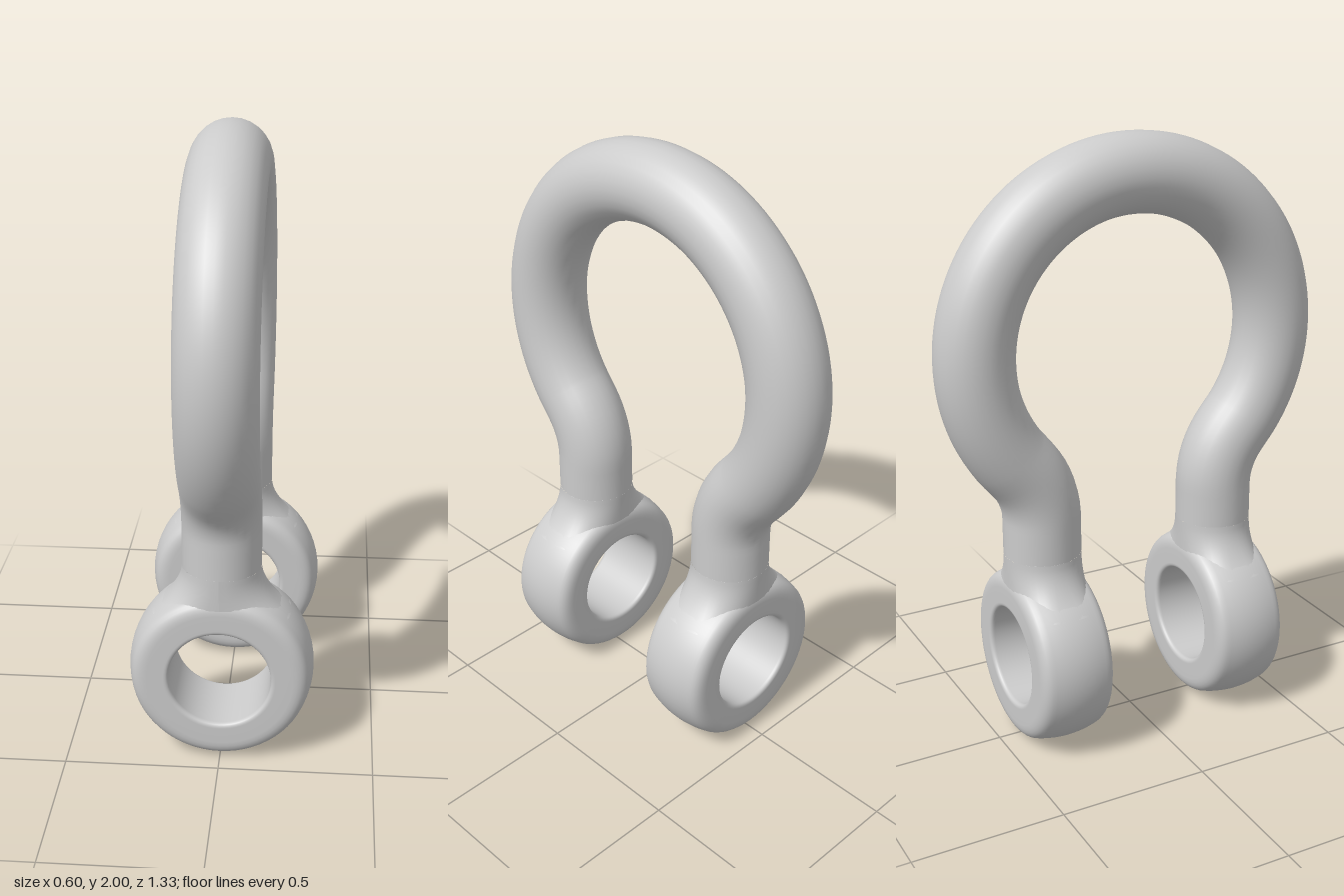
import * as THREE from 'three';

const TUBE = 0.128;      // bar radius
const LEG_Z = 0.325;     // leg offset from the centre
const NECK_TOP = 0.66, NECK_BOTTOM = 0.5;

const material = new THREE.MeshStandardMaterial({ color: 0xcccccc });

function addMesh(parent, name, geometry) {
  const mesh = new THREE.Mesh(geometry, material);
  mesh.name = name;
  parent.add(mesh);
  return mesh;
}

// Round bar: straight leg, outward bend, large arc, then the mirrored half
function bowGeometry() {
  const cy = 1.333, R = 0.539, bendR = 0.279, bendY = 0.78, tangent = 0.742;
  const half = [];
  for (const y of [NECK_TOP, 0.7, 0.74]) half.push([LEG_Z, y]);
  for (let i = 0; i < 6; i++) {
    const a = (i / 6) * tangent;
    half.push([LEG_Z + bendR * (1 - Math.cos(a)), bendY + bendR * Math.sin(a)]);
  }
  const steps = 20;
  for (let i = 0; i <= steps; i++) {
    const a = -tangent + (i / steps) * (tangent + Math.PI / 2);
    half.push([R * Math.cos(a), cy + R * Math.sin(a)]);
  }
  const points = half.map(([z, y]) => new THREE.Vector3(0, y, z));
  for (const [z, y] of half.slice(0, -1).reverse()) points.push(new THREE.Vector3(0, y, -z));
  const curve = new THREE.CatmullRomCurve3(points);
  return new THREE.TubeGeometry(curve, 120, TUBE, 28, false);
}

// Flared neck: round at the top, widening and squaring off into the eye
function neckGeometry() {
  const geometry = new THREE.CylinderGeometry(1, 1, 1, 40, 10, true);
  const p = geometry.attributes.position;
  const bend = (v, power) => Math.sign(v) * Math.pow(Math.abs(v), power);
  for (let i = 0; i < p.count; i++) {
    const t = 0.5 - p.getY(i);
    const width = TUBE + 0.095 * Math.pow(t, 1.9);
    const power = 1 - 0.4 * t * t;
    p.setXYZ(i,
      width * bend(p.getX(i), power),
      NECK_TOP + (NECK_BOTTOM - NECK_TOP) * t,
      (TUBE - 0.004 * t) * bend(p.getZ(i), power));
  }
  geometry.computeVertexNormals();
  return geometry;
}

// Eye ring: plain bore, flat faces, rounded corners and a crowned rim
function eyeGeometry() {
  const h = 0.127, bore = 0.165;
  const profile = new THREE.Path();
  profile.moveTo(bore, 0);
  profile.lineTo(bore, -h + 0.016);
  profile.quadraticCurveTo(bore, -h, bore + 0.016, -h);
  profile.lineTo(0.235, -h);
  profile.quadraticCurveTo(0.281, -h, 0.288, -0.088);
  profile.quadraticCurveTo(0.3, -0.045, 0.3, 0);
  profile.quadraticCurveTo(0.3, 0.045, 0.288, 0.088);
  profile.quadraticCurveTo(0.281, h, 0.235, h);
  profile.lineTo(bore + 0.016, h);
  profile.quadraticCurveTo(bore, h, bore, h - 0.016);
  profile.lineTo(bore, 0);
  return new THREE.LatheGeometry(profile.getPoints(6), 64).rotateX(Math.PI / 2);
}

export function createModel() {
  const model = new THREE.Group();
  model.name = 'shackle';
  addMesh(model, 'bow', bowGeometry());

  // Matching lugs at the front and back leg ends
  const neck = neckGeometry(), eye = eyeGeometry();
  for (const side of [1, -1]) {
    const lug = new THREE.Group();
    lug.name = side > 0 ? 'frontLug' : 'backLug';
    lug.position.z = side * LEG_Z;
    addMesh(lug, 'neck', neck);
    addMesh(lug, 'eye', eye).position.y = 0.3;
    model.add(lug);
  }
  return model;
}
